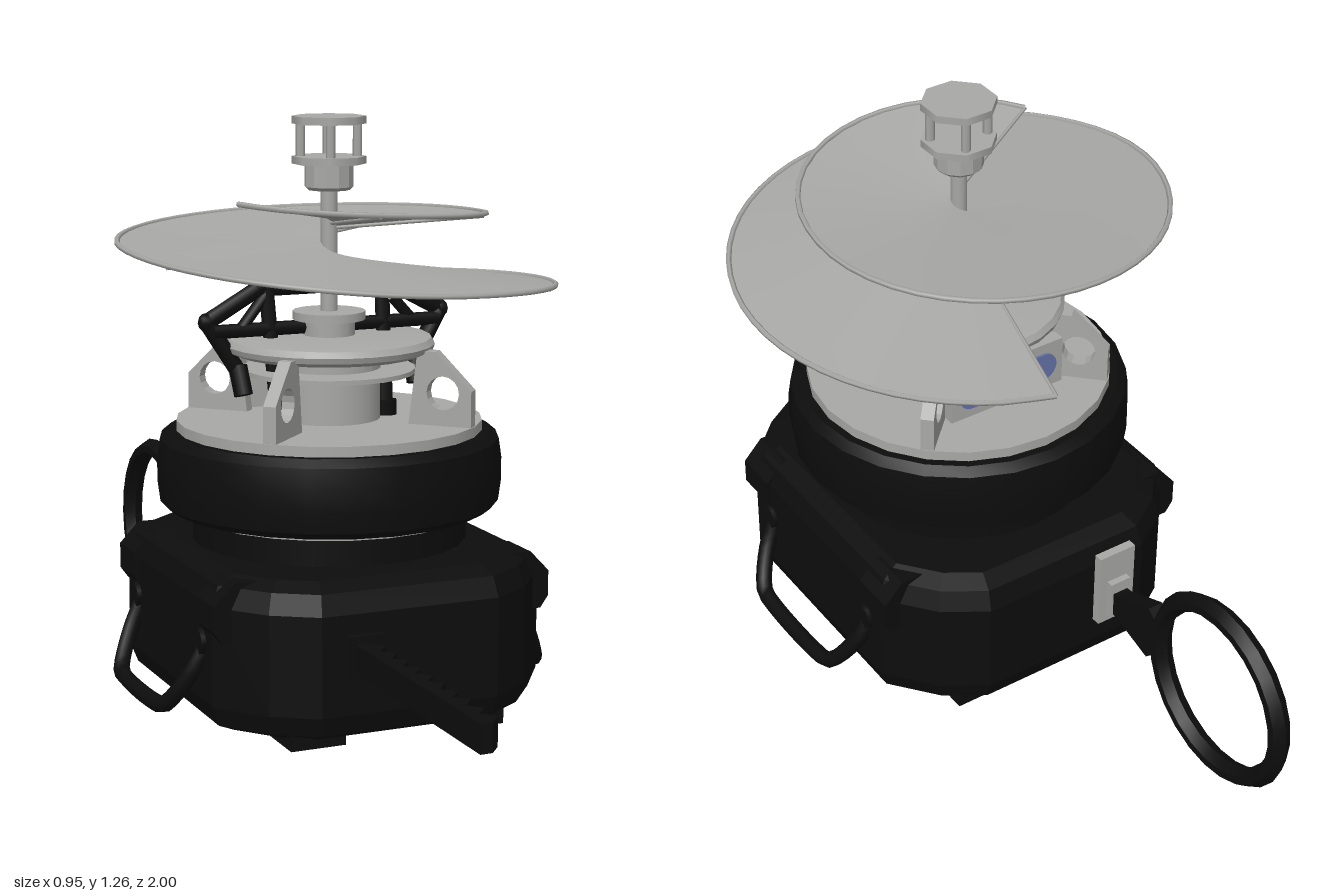
import * as THREE from 'three';
import { toCreasedNormals } from 'three/addons/utils/BufferGeometryUtils.js';

const black = new THREE.MeshStandardMaterial({ color: 0x0d0d0d });
black.name = 'black rubber';
const grey = new THREE.MeshStandardMaterial({ color: 0xa8a8a6 });
grey.name = 'light grey metal';
const blade = new THREE.MeshStandardMaterial({ color: 0xa8a8a6, side: THREE.DoubleSide });
blade.name = 'grey sheet';
const blue = new THREE.MeshStandardMaterial({ color: 0x6472aa });
blue.name = 'blue window';

const V = (x, y, z) => new THREE.Vector3(x, y, z);

function add(parent, name, geo, mat, x = 0, y = 0, z = 0) {
  const m = new THREE.Mesh(geo, mat);
  m.name = name;
  m.position.set(x, y, z);
  parent.add(m);
  return m;
}
// upright cylinder given by its bottom and top heights
const drum = (p, name, r, y0, y1, mat, n = 24, x = 0, z = 0) =>
  add(p, name, new THREE.CylinderGeometry(r, r, y1 - y0, n), mat, x, (y0 + y1) / 2, z);
const box = (p, name, w, h, d, mat, x, y, z) => add(p, name, new THREE.BoxGeometry(w, h, d), mat, x, y, z);
// straight bar between two points
function rod(p, name, a, b, r, mat, n = 8) {
  const m = add(p, name, new THREE.CylinderGeometry(r, r, a.distanceTo(b), n), mat);
  m.position.copy(a).add(b).multiplyScalar(0.5);
  m.quaternion.setFromUnitVectors(V(0, 1, 0), b.clone().sub(a).normalize());
  return m;
}
const lathe = (pts, n, crease) =>
  toCreasedNormals(new THREE.LatheGeometry(pts.map(([r, y]) => new THREE.Vector2(r, y)), n), crease);
const polygon = (pts) => new THREE.Shape(pts.map(([x, y]) => new THREE.Vector2(x, y)));

function buildBase(g) {
  // chamfered casing
  const s = polygon([[-0.18, -0.365], [0.18, -0.365], [0.25, -0.32], [0.315, -0.24], [0.315, 0.24], [0.25, 0.32],
    [0.18, 0.365], [-0.18, 0.365], [-0.25, 0.32], [-0.315, 0.24], [-0.315, -0.24], [-0.25, -0.32]]);
  const geo = new THREE.ExtrudeGeometry(s, { depth: 0.21, bevelSize: 0.055, bevelThickness: 0.06, bevelSegments: 2 });
  geo.rotateX(-Math.PI / 2);
  add(g, 'casing', geo, black, -0.015, 0.1, 0.012);

  for (const sx of [-1, 1]) {
    for (const sz of [-1, 1]) {
      // feet and corner clips
      box(g, 'foot', 0.12, 0.04, 0.15, black, -0.015 + sx * 0.18, 0.04, 0.01 + sz * 0.29);
      const clip = new THREE.ExtrudeGeometry(
        polygon([[0.28, 0.24], [0.36, 0.24], [0.378, 0.265], [0.378, 0.32], [0.335, 0.365], [0.28, 0.365]]),
        { depth: 0.1, bevelEnabled: false });
      clip.translate(0, 0, -0.05);
      const c = add(g, 'cornerClip', clip, black, -0.015, 0, 0.012 + sz * 0.245);
      if (sx < 0) c.rotation.y = Math.PI;
      // handle pivots
      const p = drum(g, 'handlePivot', 0.028, -0.015, 0.015, black, 12);
      p.rotation.z = Math.PI / 2;
      p.position.set(-0.015 + sx * 0.365, 0.225, 0.01 + sz * 0.2);
    }
    // folding side handle
    const pts = [[0.35, 0.235, 0.2], [0.39, 0.155, 0.19], [0.43, 0.08, 0.14], [0.435, 0.073, 0.1],
      [0.435, 0.073, -0.1], [0.43, 0.08, -0.14], [0.39, 0.155, -0.19], [0.35, 0.235, -0.2]];
    const path = new THREE.CatmullRomCurve3(pts.map(([x, y, z]) => V(-0.015 + sx * x, y, 0.01 + z)), false, 'centripetal');
    add(g, 'sideHandle', new THREE.TubeGeometry(path, 28, 0.018, 8), black);
  }
  // saw socket
  box(g, 'sawSocket', 0.075, 0.09, 0.02, black, -0.118, 0.222, 0.437);
}

function buildSaw(g) {
  const pts = [[-0.145, -0.4], [-0.12, -0.4]];
  const pitch = 0.0545;
  for (let i = 0; i < 11; i++) {
    const z = 0.4 + i * pitch;
    pts.push([-0.096, -(z + pitch * 0.5)], [-0.12, -(z + pitch)]);
  }
  pts.push([-0.145, -1]);
  const geo = new THREE.ExtrudeGeometry(polygon(pts.reverse()), { depth: 0.058, bevelEnabled: false });
  geo.rotateX(-Math.PI / 2);
  add(g, 'sawBlade', geo, black, 0, 0.194, 0);
}

function buildKeyRing(g) {
  const x = -0.13;
  box(g, 'bucklePlate', 0.09, 0.18, 0.02, grey, x, 0.25, -0.42);
  box(g, 'buckleLug', 0.05, 0.09, 0.03, grey, x, 0.225, -0.43);
  // tapered link, wider toward the ring
  const link = polygon([[0.42, 0.19], [0.46, 0.185], [0.565, 0.155], [0.59, 0.18], [0.59, 0.27], [0.565, 0.29],
    [0.46, 0.245], [0.42, 0.24]]);
  const lg = new THREE.ExtrudeGeometry(link, { depth: 0.036, bevelEnabled: false });
  lg.rotateY(Math.PI / 2);
  add(g, 'ringLink', lg, black, x - 0.018, 0, 0);
  // ring with bevelled section
  const ring = lathe([[0.185, -0.022], [0.203, -0.022], [0.217, 0], [0.203, 0.022], [0.185, 0.022], [0.172, 0],
    [0.185, -0.022]], 24, 0.5);
  add(g, 'pullRing', ring, black, x, 0.222, -0.783).rotation.z = Math.PI / 2;
}

function buildTurret(g) {
  drum(g, 'neck', 0.295, 0.35, 0.43, black);
  drum(g, 'trimRing', 0.308, 0.428, 0.442, grey);
  add(g, 'rubberBand', lathe([[0.25, 0.44], [0.345, 0.44], [0.364, 0.455], [0.37, 0.5], [0.37, 0.55], [0.364, 0.59],
    [0.345, 0.606], [0.25, 0.606]], 24, 0.6), black);
  drum(g, 'deck', 0.328, 0.6, 0.628, grey);
  drum(g, 'core', 0.11, 0.62, 0.78, grey);
  drum(g, 'coreFlange', 0.185, 0.727, 0.737, grey);
  add(g, 'dish', lathe([[0, 0.765], [0.2, 0.768], [0.222, 0.778], [0.226, 0.79], [0.218, 0.803], [0.19, 0.807],
    [0, 0.807]], 24, 0.6), grey);
  drum(g, 'shaftSeat', 0.055, 0.8, 0.845, grey, 16);
  drum(g, 'shaftCollar', 0.078, 0.84, 0.858, grey, 16);

  // radial fins with round holes
  for (let i = 0; i < 4; i++) {
    const s = polygon([[0.185, 0.62], [0.325, 0.62], [0.325, 0.705], [0.245, 0.785], [0.205, 0.785]]);
    s.holes.push(new THREE.Path().absarc(0.262, 0.698, 0.036, 0, Math.PI * 2, true));
    const geo = new THREE.ExtrudeGeometry(s, { depth: 0.028, bevelEnabled: false, curveSegments: 8 });
    geo.translate(0, 0, -0.014);
    add(g, 'fin', geo, grey).rotation.y = Math.PI / 4 + i * Math.PI / 2;
  }
  // rear window panel
  box(g, 'windowPanel', 0.28, 0.11, 0.03, grey, 0, 0.685, -0.17);
  const w = new THREE.Shape();
  w.absarc(0.09, 0, 0.032, -Math.PI / 2, Math.PI / 2, false);
  w.absarc(-0.09, 0, 0.032, Math.PI / 2, Math.PI * 1.5, false);
  add(g, 'window', new THREE.ExtrudeGeometry(w, { depth: 0.006, bevelEnabled: false }), blue, 0, 0.685, -0.19);
}

function buildFrame(g) {
  // bent bow with a cross bar and two posts on each side
  const bow = [[-0.205, 0.74], [-0.27, 0.845], [-0.15, 0.91], [0.15, 0.91], [0.27, 0.845], [0.205, 0.74]]
    .map(([x, y]) => V(x, y, -0.01 - (y - 0.74) * 0.1));
  for (let i = 0; i < bow.length - 1; i++) {
    rod(g, 'bowBar', bow[i], bow[i + 1], 0.018, black);
    add(g, 'bowJoint', new THREE.SphereGeometry(0.02, 8, 6), black, ...bow[i + 1].toArray());
  }
  rod(g, 'crossBar', V(-0.26, 0.825, -0.01), V(0.26, 0.825, -0.01), 0.015, black);
  for (const s of [-1, 1]) {
    rod(g, 'post', V(s * 0.125, 0.62, 0.02), V(s * 0.135, 0.945, -0.03), 0.017, black);
    rod(g, 'brace', V(s * 0.135, 0.9, -0.02), V(s * 0.2, 0.825, -0.01), 0.012, black);
    drum(g, 'postFoot', 0.024, 0.625, 0.66, black, 8, s * 0.125, 0.02);
    rod(g, 'bowEnd', V(s * 0.205, 0.75, -0.01), V(s * 0.2, 0.69, 0.01), 0.02, black);
  }
}

function buildRotor(g) {
  // rim stations: angle in degrees, radius, height
  const stations = [[11, 0.495, 0.87], [90, 0.485, 0.905], [180, 0.468, 0.947], [270, 0.457, 1.01], [360, 0.405, 1.037],
    [450, 0.34, 1.057], [540, 0.312, 1.09], [603, 0.288, 1.107]];
  const rimAt = (deg) => {
    let i = 0;
    while (i < stations.length - 2 && deg > stations[i + 1][0]) i++;
    const [a, r0, y0] = stations[i], [b, r1, y1] = stations[i + 1];
    const k = (deg - a) / (b - a), t = deg * Math.PI / 180, r = r0 + (r1 - r0) * k;
    return V(Math.sin(t) * r, y0 + (y1 - y0) * k, -Math.cos(t) * r);
  };
  const hubAt = (deg) => {
    const t = deg * Math.PI / 180;
    return V(Math.sin(t) * 0.016, 0.955 + 0.105 * (deg - 11) / 592, -Math.cos(t) * 0.016);
  };
  const N = 40, pos = [], idx = [], rim = [];
  for (let i = 0; i <= N; i++) {
    const deg = 11 + 592 * i / N, a = hubAt(deg), b = rimAt(deg);
    rim.push(b);
    pos.push(...a.toArray(), ...b.toArray());
    if (i < N) idx.push(2 * i, 2 * i + 2, 2 * i + 1, 2 * i + 1, 2 * i + 2, 2 * i + 3);
    if (i % 4 === 0) {
      // ribs lie just under the sheet
      const down = V(0, i === 0 || i === N ? 0 : -0.004, 0);
      rod(g, 'rotorRib', a.clone().add(down), b.clone().add(down), 0.004, grey, 5);
    }
  }
  const geo = new THREE.BufferGeometry();
  geo.setAttribute('position', new THREE.Float32BufferAttribute(pos, 3));
  geo.setIndex(idx);
  geo.computeVertexNormals();
  add(g, 'spiralRotor', geo, blade);
  add(g, 'rotorRim', new THREE.TubeGeometry(new THREE.CatmullRomCurve3(rim), 80, 0.006, 5), grey);

  // shaft and lantern-shaped cap
  drum(g, 'shaft', 0.018, 0.85, 1.13, grey, 10);
  add(g, 'capHub', lathe([[0, 1.115], [0.045, 1.115], [0.052, 1.122], [0.052, 1.168], [0, 1.168]], 12, 0.5), grey);
  drum(g, 'capLowerDisc', 0.079, 1.17, 1.186, grey, 8).rotation.y = Math.PI / 8;
  drum(g, 'capUpperDisc', 0.079, 1.254, 1.27, grey, 8).rotation.y = Math.PI / 8;
  for (let i = 0; i < 4; i++) {
    const t = 0.35 + i * Math.PI / 2;
    drum(g, 'capPost', 0.01, 1.18, 1.26, grey, 6, Math.cos(t) * 0.06, Math.sin(t) * 0.06);
  }
}

export function createModel() {
  const model = new THREE.Group();
  model.name = 'spiralRotorDevice';
  const group = (name, build, x = 0, z = 0) => {
    const g = new THREE.Group();
    g.name = name;
    g.position.set(x, 0, z);
    build(g);
    model.add(g);
  };
  group('base', buildBase);
  group('saw', buildSaw);
  group('keyRing', buildKeyRing);
  group('turret', buildTurret, -0.015, 0.01);
  group('frame', buildFrame, -0.015, 0.01);
  group('rotor', buildRotor, -0.015, 0.01);
  return model;
}
